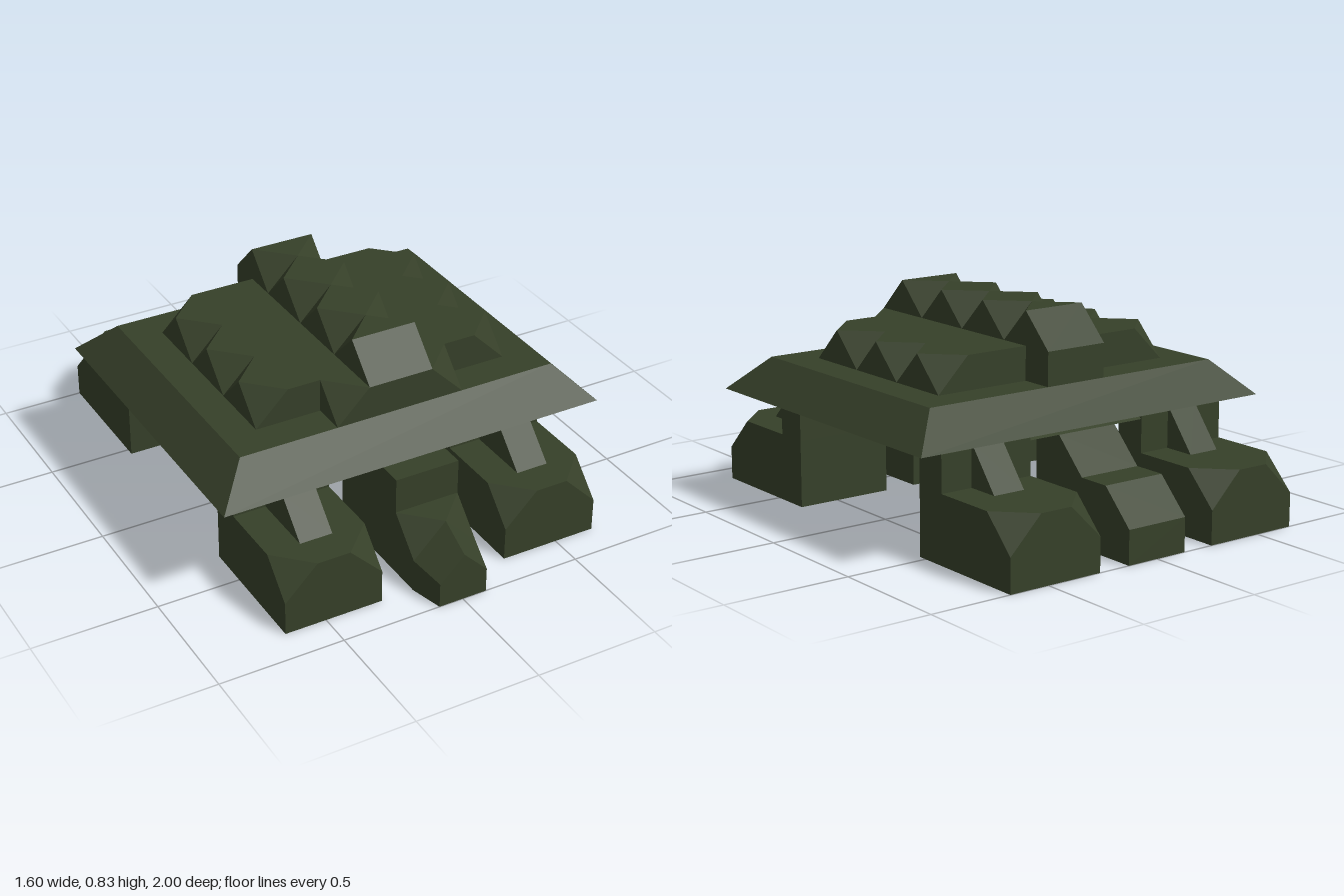
import * as THREE from 'three';
import { ConvexGeometry } from 'three/addons/geometries/ConvexGeometry.js';

const U = 2 / 15; // modelling grid step

export function createModel() {
  const group = new THREE.Group();
  const mossGreen = new THREE.MeshStandardMaterial({ color: 0x364029 });

  const hull = (name, pts) => {
    const geo = new ConvexGeometry(pts.map(p => new THREE.Vector3(...p)));
    const mesh = new THREE.Mesh(geo, mossGreen);
    mesh.name = name;
    group.add(mesh);
  };
  const box = (name, x0, x1, y0, y1, z0, z1) => {
    const mesh = new THREE.Mesh(new THREE.BoxGeometry(x1 - x0, y1 - y0, z1 - z0), mossGreen);
    mesh.position.set((x0 + x1) / 2, (y0 + y1) / 2, (z0 + z1) / 2);
    mesh.name = name;
    group.add(mesh);
  };
  // Side profile of [z, y] points swept between two x values
  const sweep = (name, x0, x1, profile) =>
    hull(name, profile.flatMap(([z, y]) => [[x0, y, z], [x1, y, z]]));
  // One grid cell from a base height, with a full-height inner edge and two outer corner heights
  const scute = (name, xIn, xOut, z0, z1, base, top, h0, h1) => {
    const pts = [[xIn, base, z0], [xIn, base, z1], [xOut, base, z0], [xOut, base, z1],
      [xIn, top, z0], [xIn, top, z1]];
    if (h0) pts.push([xOut, top, z0]);
    if (h1) pts.push([xOut, top, z1]);
    hull(name, pts);
  };

  const legTop = 2 * U, bellyY = 0.4, rimY = 0.433, deckY = 0.567, plateauY = 0.7, crestY = 0.833;

  // Shell rim and belly
  hull('shellRim', [-1, 1].flatMap(sx => [-1, 1].flatMap(sz => [
    [sx * 6 * U, rimY, sz * 5 * U], [sx * 5 * U, deckY, sz * 4 * U]])));
  sweep('belly', -5 * U, 5 * U, [[0.66, rimY], [0.6, bellyY], [-0.6, bellyY], [-0.533, rimY]]);

  // Raised shell plateau and central ridge
  box('shellPlateau', -3 * U, 3 * U, deckY, plateauY, -3 * U, 3 * U);
  box('ridgeBase', -U, U, deckY, plateauY, -4 * U, 4 * U);
  for (const s of [-1, 1]) {
    sweep('ridgeEnd', -U, U, [[s * 3 * U, plateauY], [s * 3 * U, crestY], [s * 4 * U, plateauY]]);
    // Alternating notched scutes along the ridge and the shell edges
    for (let r = 0; r < 6; r++) {
      const z0 = (r - 3) * U, z1 = z0 + U, odd = r % 2 === 1;
      scute('edgeScute', s * 3 * U, s * 4 * U, z0, z1, deckY, plateauY, odd, !odd);
      scute('ridgeScute', 0, s * U, z0, z1, plateauY, crestY, !odd, odd);
    }
    scute('frontScute', s * U, s * 2 * U, 3 * U, 4 * U, deckY, plateauY, true, false);
  }

  // Legs: box feet with two clipped toe corners, an upper column and a sloping strap
  const leg = (name, sx, sz, zIn, zOut) => {
    const x0 = sx * 2 * U, x1 = sx * 5 * U, z = v => sz * v;
    const foot = [];
    for (const [x, inward] of [[x0, sx], [x1, -sx]]) {
      foot.push([x, 0, z(zIn)], [x, legTop, z(zIn)], [x, 0, z(zOut)], [x, U, z(zOut)],
        [x + inward * U, legTop, z(zOut)], [x, legTop, z(zOut - U)]);
    }
    hull(name + 'Foot', foot);
    box(name + 'Column', Math.min(x0, x1), Math.max(x0, x1), legTop, bellyY + 0.01,
      Math.min(z(zIn), z(zIn + U)), Math.max(z(zIn), z(zIn + U)));
    sweep(name + 'Strap', sx * 3 * U, sx * 4 * U,
      [[z(zIn + U), legTop], [z(zIn + U), rimY], [z(0.533), rimY], [z(0.6), bellyY], [z(0.733), legTop]]);
  };
  for (const s of [-1, 1]) {
    leg('frontLeg', s, 1, 0.333, 0.867);
    leg('backLeg', s, -1, 0.467, 1);
  }

  // Neck, head and tapered snout
  box('neck', -U, U, legTop, bellyY + 0.01, 0.333, 0.733);
  box('headBase', -U, U, 0, legTop, 0.333, 0.733);
  hull('head', [[0, legTop, 0.867], ...[-1, 1].flatMap(s => [
    [s * U, 0, 0.733], [s * U, legTop, 0.733], [s * U, 0, 0.867], [s * U, U, 0.867]])]);
  hull('snout', [[0, legTop, 0.867], [0, 0.2, 1], ...[-1, 1].flatMap(s => [
    [s * U, 0, 0.867], [s * U, U, 0.867], [s * 0.1, 0, 1], [s * 0.1, 0.1, 1]])]);

  // Tail with a sloped tip and a sloping root
  sweep('tail', -U, U, [[-0.467, 0], [-0.467, legTop], [-0.867, legTop], [-1, U], [-1, 0]]);
  sweep('tailRoot', -U, U, [[-0.467, legTop], [-0.467, rimY], [-0.533, rimY], [-0.6, bellyY], [-0.733, legTop]]);

  return group;
}
